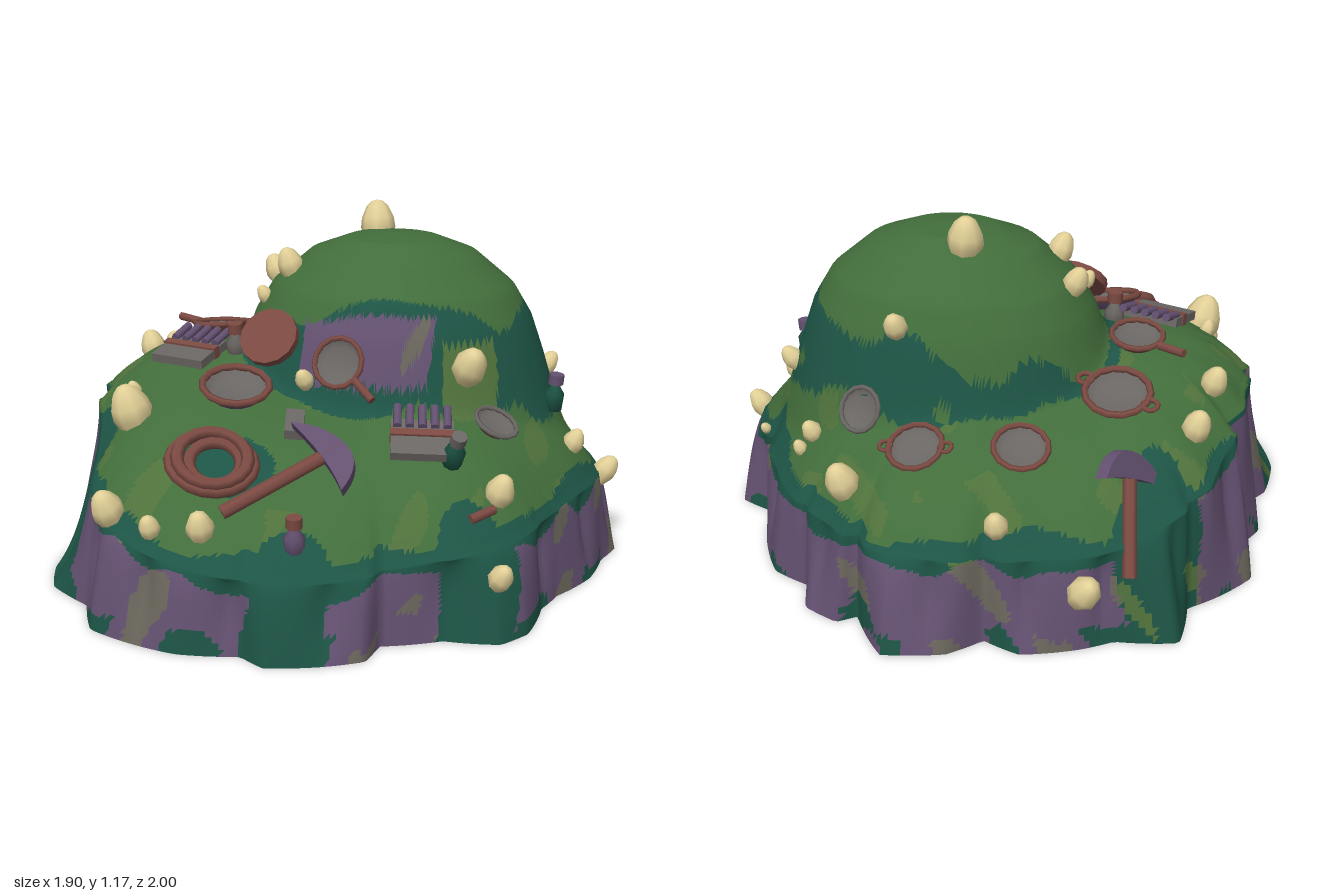
import * as THREE from 'three';

const mat = (name, color) => {
  const m = new THREE.MeshStandardMaterial({ color });
  m.name = name;
  return m;
};
const M = {
  grass: mat('grass', 0x426d3b), moss: mat('dark moss', 0x1d5445), rock: mat('purple rock', 0x645171),
  stone: mat('grey stone', 0x6a665c), olive: mat('olive grass', 0x4f713b), rust: mat('rust', 0x7b4a42),
  metal: mat('dull metal', 0x6a6663), bone: mat('pale spike', 0xe2d097),
};

// Ground outline as x, z pairs
const OUT = [.2,-1, .32,-.82, .38,-.86, .5,-.8, .53,-.68, .66,-.62, .76,-.42, .79,-.26, .92,-.2, .95,0, .9,.1, .86,.25,
  .75,.4, .7,.5, .66,.68, .58,.76, .4,.76, .21,.82, .18,.92, .05,.97, -.12,1, -.2,.94, -.4,.95, -.7,.83, -.76,.67,
  -.91,.55, -.95,.4, -.93,.2, -.85,.1, -.92,-.06, -.8,-.25, -.91,-.36, -.8,-.5, -.71,-.58, -.7,-.77, -.5,-.8,
  -.4,-.86, -.22,-.92, -.1,-.87, 0,-.96];
const TAU = Math.PI * 2;
const polar = [];
for (let i = 0; i < OUT.length; i += 2)
  polar.push([(Math.atan2(OUT[i + 1], OUT[i]) + TAU) % TAU, Math.hypot(OUT[i], OUT[i + 1])]);
polar.sort((a, b) => a[0] - b[0]);
const { lerp, clamp } = THREE.MathUtils;

function outlineR(a) {
  a = ((a % TAU) + TAU) % TAU;
  let j = polar.findIndex(p => p[0] > a);
  if (j < 0) j = 0;
  const p = polar[(j + polar.length - 1) % polar.length], q = polar[j];
  const span = (q[0] - p[0] + TAU) % TAU;
  return lerp(p[1], q[1], span ? ((a - p[0] + TAU) % TAU) / span : 0);
}
const lobe = a => Math.max(0, Math.cos(a - 2.72)) ** 30; // low ledge at the front corner
function meanR(a) {
  let sum = 0;
  for (let i = -4; i <= 4; i++) sum += outlineR(a + i * .06);
  return sum / 9 * .95 * (1 - .1 * lobe(a));
}
const rimR = a => Math.min(meanR(a), outlineR(a) * .975 * (1 - .1 * lobe(a)));
const leftness = a => Math.max(0, -Math.cos(a)) ** 4;
const frontness = a => Math.max(0, Math.sin(a)) ** 4;
const rimY = a => .3 + .24 * leftness(a) - .06 * frontness(a);
// Share of the rim height lost at u, going out across the wall
const wallDrop = (u, a) => lerp(.3 * u + .7 * u * u, Math.sqrt(u), lobe(a));

// Height of the dome for a distance d from its middle
const DOME = [[0, 1.1], [.3, 1.085], [.55, 1.035], [.8, .925], [.92, .82], [1, .7], [1.1, .53], [1.4, 0], [9, 0]];
const domeD = (x, z) => Math.hypot((x - .15) / .52, (z + .1) / .41);
function domeY(x, z) {
  const d = domeD(x, z), i = DOME.findIndex(p => p[0] > d), [p, q] = [DOME[i - 1], DOME[i]];
  return lerp(p[1], q[1], (d - p[0]) / (q[0] - p[0]));
}
function surfaceY(x, z) {
  const a = Math.atan2(z, x), r = Math.hypot(x, z), rim = rimR(a), low = rimY(a), edge = r / rim;
  if (edge > 1) return low * (1 - wallDrop(Math.min(1, (r - rim) / (outlineR(a) - rim)), a));
  const s = lerp(r / meanR(a), edge, edge ** 8), left = leftness(a);
  const base = low + (.62 + .1 * left - low) * (1 - s ** (4 + 2 * left - 1.5 * frontness(a)));
  const k = .04, diff = domeY(x, z) - base;
  return base + (diff + Math.sqrt(diff * diff + k * k)) / 2 - k / 4;
}

const noise = (x, y, z) => (Math.sin(x * 9 + 2 * Math.sin(z * 7)) + Math.sin(z * 11 + y * 8 + 1.5 * Math.sin(x * 8))
  + Math.sin(y * 13 - x * 17 + z * 5)) / 2;
// Mossy patches: x, z, radius
const MOSSY = [[-.07, .9, .14], [.51, .72, .12], [-.93, .42, .2], [-.62, -.67, .15]];
// Colour of the ground at a point
function groundColor(x, y, z, wall) {
  const n = noise(x, y, z), n2 = noise(x * 1.7 + 3, y * 1.7, z * 1.7 - 2);
  const a = Math.atan2(z, x), s = Math.hypot(x, z) / rimR(a), d = domeD(x, z);
  if (MOSSY.some(([mx, mz, r]) => Math.hypot(x - mx, z - mz) < r + .03 * n)) return n2 > 1.15 ? M.olive : M.moss;
  if (wall) {
    const scallop = .04 * Math.abs(Math.sin(9 * a + Math.sin(3 * a)));
    if (y > rimY(a) - .06 + scallop + .015 * n2) return n2 > 1.1 ? M.olive : M.moss;
    if (y < .06 + .04 * n2) return n > .4 ? M.stone : n > -.3 ? M.rock : M.moss;
    return n2 > .85 ? M.stone : M.rock;
  }
  if (s > .955 + .025 * n + .05 * leftness(a)) return M.moss;
  if (Math.hypot((x + .33) / .24, (z - .62) / .1) < .85 + .25 * n) return M.moss;
  // rock face on the front of the dome, in a belt of moss
  if (z > .08 && x > -.14 + .02 * n && x < .31 + .02 * n2 && d > .85 + .02 * n && d < 1.02) return n2 > 1.2 ? M.stone : M.rock;
  const front = clamp(z / .25, 0, 1), right = clamp((x + .1) / .3, 0, 1);
  const top = 1 - Math.max(.22 * front, .11 * right);
  const nearSpike = d > .93 && Math.hypot(x - .43, z - .24) < .1 + .02 * n;
  if (d > top + .05 * n && d < 1.1 + .05 * n) return nearSpike ? M.olive : n2 > 1.25 ? M.grass : M.moss;
  if (s > .8 && n2 > .6) return M.olive;
  if (d > 1.05 && d < 1.25 && n2 > .7) return M.olive;
  return M.grass;
}

function buildMound() {
  const N = 320, CAP = 64, WALL = 20, pos = [0, surfaceY(0, 0), 0], mats = Object.values(M), tris = mats.map(() => []);
  for (let k = 1; k <= CAP + WALL; k++) for (let i = 0; i < N; i++) {
    const a = i / N * TAU, rim = rimR(a), u = Math.max(0, k - CAP) / WALL;
    const r = k <= CAP ? rim * k / CAP : lerp(rim, outlineR(a), u);
    const x = r * Math.cos(a), z = r * Math.sin(a);
    const y = k < CAP ? surfaceY(x, z) : rimY(a) * (1 - wallDrop(u, a));
    // shallow clefts between the boulders of the wall
    const cleft = 1 - .035 * Math.sin(Math.PI * u) * (1 - Math.abs(Math.sin(9 * a + Math.sin(3 * a)))) ** 2;
    pos.push(x * cleft, y, z * cleft);
  }
  const at = (k, i) => k === 0 ? 0 : 1 + (k - 1) * N + i % N;
  const face = (wall, ...v) => {
    const c = [0, 1, 2].map(j => (pos[v[0] * 3 + j] + pos[v[1] * 3 + j] + pos[v[2] * 3 + j]) / 3);
    tris[mats.indexOf(groundColor(...c, wall))].push(...v);
  };
  for (let k = 0; k < CAP + WALL; k++) for (let i = 0; i < N; i++) {
    face(k >= CAP, at(k, i), at(k + 1, i + 1), at(k + 1, i));
    if (k) face(k >= CAP, at(k, i), at(k, i + 1), at(k + 1, i + 1));
  }
  // flat underside
  const first = pos.length / 3, rock = tris[mats.indexOf(M.rock)];
  pos.push(0, 0, 0);
  for (let i = 0; i < N; i++) pos.push(...pos.slice(at(CAP + WALL, i) * 3, at(CAP + WALL, i) * 3 + 3));
  for (let i = 0; i < N; i++) rock.push(first, first + 1 + i, first + 1 + (i + 1) % N);
  const g = new THREE.BufferGeometry();
  g.setAttribute('position', new THREE.Float32BufferAttribute(pos, 3));
  g.setIndex(tris.flat());
  let start = 0;
  tris.forEach((t, m) => { if (t.length) g.addGroup(start, t.length, m); start += t.length; });
  g.computeVertexNormals();
  return mesh('mound', g, mats);
}

function mesh(name, geo, material, x = 0, y = 0, z = 0) {
  const m = new THREE.Mesh(geo, material);
  m.name = name;
  m.position.set(x, y, z);
  return m;
}
const group = (name, ...parts) => { const g = new THREE.Group(); g.name = name; g.add(...parts); return g; };
const UP = new THREE.Vector3(0, 1, 0), V = (...p) => new THREE.Vector3(...p);
// Stands a part on the ground, leaning with the slope
function place(obj, x, z, yaw = 0, lift = 0, lean = .85) {
  const e = .04, n = V(surfaceY(x - e, z) - surfaceY(x + e, z), 2 * e, surfaceY(x, z - e) - surfaceY(x, z + e)).normalize();
  obj.position.set(x, surfaceY(x, z) + lift, z);
  obj.quaternion.setFromUnitVectors(UP, UP.clone().lerp(n, lean).normalize());
  obj.rotateY(yaw);
  return obj;
}
function stick(name, a, b, r, material) {
  const d = b.clone().sub(a), m = mesh(name, new THREE.CylinderGeometry(r, r, d.length(), 7), material);
  m.position.copy(a).addScaledVector(d, .5);
  m.quaternion.setFromUnitVectors(UP, d.normalize());
  return m;
}
const lathe = (pts, n) => new THREE.LatheGeometry(pts.map(p => new THREE.Vector2(...p)), n);

function spike(size) {
  const g = lathe([[.38, -.35], [.53, .1], [.49, .4], [.33, .75], [.16, .9], [0, .94]], 8);
  g.scale(size, size, size);
  return mesh('spike', g, M.bone);
}
// Round pan; handle is 'long', 'ears' or none
function pan(r, outer, rim, handle) {
  const ring = mesh('panRim', new THREE.TorusGeometry(r * .96, r * .11, 5, 14), rim, 0, r * .36, 0);
  ring.rotation.x = Math.PI / 2;
  const g = group('pan', ring,
    mesh('panOutside', lathe([[0, 0], [r * .7, 0], [r, r * .36]], 14), outer),
    mesh('panInside', lathe([[r * .94, r * .36], [r * .66, r * .1], [0, r * .1]], 14), M.metal));
  if (handle === 'long') g.add(stick('panHandle', V(r, r * .34, 0), V(r * 2.1, r * .5, 0), r * .16, M.rust));
  if (handle === 'ears') for (const s of [1, -1]) {
    const ear = mesh('panEar', new THREE.TorusGeometry(r * .22, r * .08, 5, 10), M.rust, s * r * 1.08, r * .36, 0);
    ear.rotation.x = Math.PI / 2;
    g.add(ear);
  }
  return g;
}
function pickaxe(head, tail, along) {
  const s = new THREE.Shape();
  s.moveTo(-.15, -.065);
  s.quadraticCurveTo(-.06, .05, .05, .045);
  s.quadraticCurveTo(.11, .03, .14, -.045);
  s.quadraticCurveTo(.03, -.025, -.15, -.065);
  const geo = new THREE.ExtrudeGeometry(s, { depth: .045, bevelEnabled: false, curveSegments: 6 });
  geo.translate(0, 0, -.0225);
  const g = group('pickaxe', mesh('pickHead', geo, M.rock),
    stick('pickHandle', V(0, .03, 0), V(0, -head.distanceTo(tail), 0), .023, M.rust));
  const y = head.clone().sub(tail).normalize();
  const z = along.clone().cross(y).normalize();
  g.quaternion.setFromRotationMatrix(new THREE.Matrix4().makeBasis(y.clone().cross(z), y, z));
  g.position.copy(head);
  return g;
}
const bottle = (body, cap) => group('bottle',
  mesh('bottleBody', lathe([[0, 0], [.032, 0], [.034, .06], [.016, .085], [.016, .1], [0, .1]], 8), body),
  mesh('bottleCap', new THREE.CylinderGeometry(.026, .026, .035, 8), cap, 0, .11, 0));
// Tool case with a strap and a row of small tools sticking out
function toolCase() {
  const g = group('toolCase',
    mesh('caseBase', new THREE.BoxGeometry(.2, .03, .1), M.metal, 0, .02, .06),
    mesh('caseStrap', new THREE.BoxGeometry(.205, .04, .028), M.rust, 0, .022, .015),
    mesh('caseBack', new THREE.BoxGeometry(.2, .03, .05), M.metal, 0, .02, -.025));
  for (let i = 0; i < 5; i++)
    g.add(stick('smallTool', V(-.08 + i * .04, .04, -.01), V(-.08 + i * .04, .045, -.1), .014, M.rock));
  return g;
}

export function createModel() {
  const root = group('campMound', buildMound());

  // spikes: x, z, size
  [[.08, -.24, .115], [-.26, -.16, .08], [-.19, -.02, .085], [-.28, -.01, .05], [.26, -.45, .075], [.43, .24, .11],
    [-.65, .4, .13], [-.65, .72, .1], [-.5, .8, .065], [-.34, .81, .085], [.55, .53, .09], [.565, .71, .075],
    [-.1, .27, .06], [-.68, .27, .05], [.78, .07, .07], [.89, 0, .08], [.68, -.22, .07], [.8, -.23, .035],
    [.55, -.46, .065], [.59, -.48, .045], [.38, -.69, .105], [-.13, -.81, .075], [-.4, -.84, .1], [-.69, -.38, .09],
    [-.73, -.18, .085]].forEach(([x, z, size], i) => root.add(place(spike(size), x, z, i, 0, .5)));

  // pans and pots: x, z, radius, outside, rim, handle, yaw
  [[-.44, -.38, .11, M.rust, M.rust, 'ears', -.4], [-.17, -.62, .09, M.rust, M.rust, '', 0],
    [.15, -.66, .09, M.rust, M.rust, 'ears', 0], [.36, -.51, .075, M.rock, M.metal, '', 0],
    [-.47, -.11, .09, M.rust, M.rust, 'long', 2.6], [.02, .29, .085, M.rust, M.rust, 'long', -.9],
    [.52, .3, .075, M.rust, M.metal, '', 0], [-.32, .35, .115, M.rock, M.rust, '', 0]]
    .forEach(([x, z, r, o, rim, h, yaw]) => root.add(place(pan(r, o, rim, h), x, z, yaw, .015)));
  const lid = mesh('potLid', new THREE.CylinderGeometry(.1, .1, .03, 14), M.rust, -.23, .79, .21);
  lid.rotation.set(.85, 0, .2);
  root.add(lid);

  // coiled rope
  const coil = group('ropeCoil');
  [[.135, 0], [.115, .03], [.085, .005]].forEach(([r, y], i) => {
    const t = mesh('ropeLoop', new THREE.TorusGeometry(r, .022, 6, 18), M.rust, i * .006, .015 + y, 0);
    t.rotation.x = Math.PI / 2 + .08 * (i - 1);
    coil.add(t);
  });
  coil.scale.z = .85;
  root.add(place(coil, -.34, .63, -.3, 0, 1));

  root.add(pickaxe(V(.04, .555, .62), V(-.28, .4, .78), V(.2, -.13, .15)),
    pickaxe(V(-.51, .53, -.62), V(-.54, .24, -.8), V(.15, .05, -.25)));

  root.add(place(toolCase(), .3, .44, .1, .005), place(toolCase(), -.51, .11, -.35, .005));
  root.add(place(bottle(M.rock, M.rust), -.05, .82, 0, -.04, .1), place(bottle(M.moss, M.rock), .71, .01, 0, 0, .1),
    place(bottle(M.moss, M.metal), .4, .5), place(bottle(M.metal, M.rust), -.37, .08, 0, -.03, .3));

  // loose plate and sticks
  root.add(place(mesh('smallBox', new THREE.BoxGeometry(.06, .04, .12), M.metal), -.11, .44, .1, .01));
  root.add(stick('looseStick', V(.47, surfaceY(.47, .64) + .01, .64), V(.54, surfaceY(.54, .58) + .01, .58), .016, M.rust));
  return root;
}
